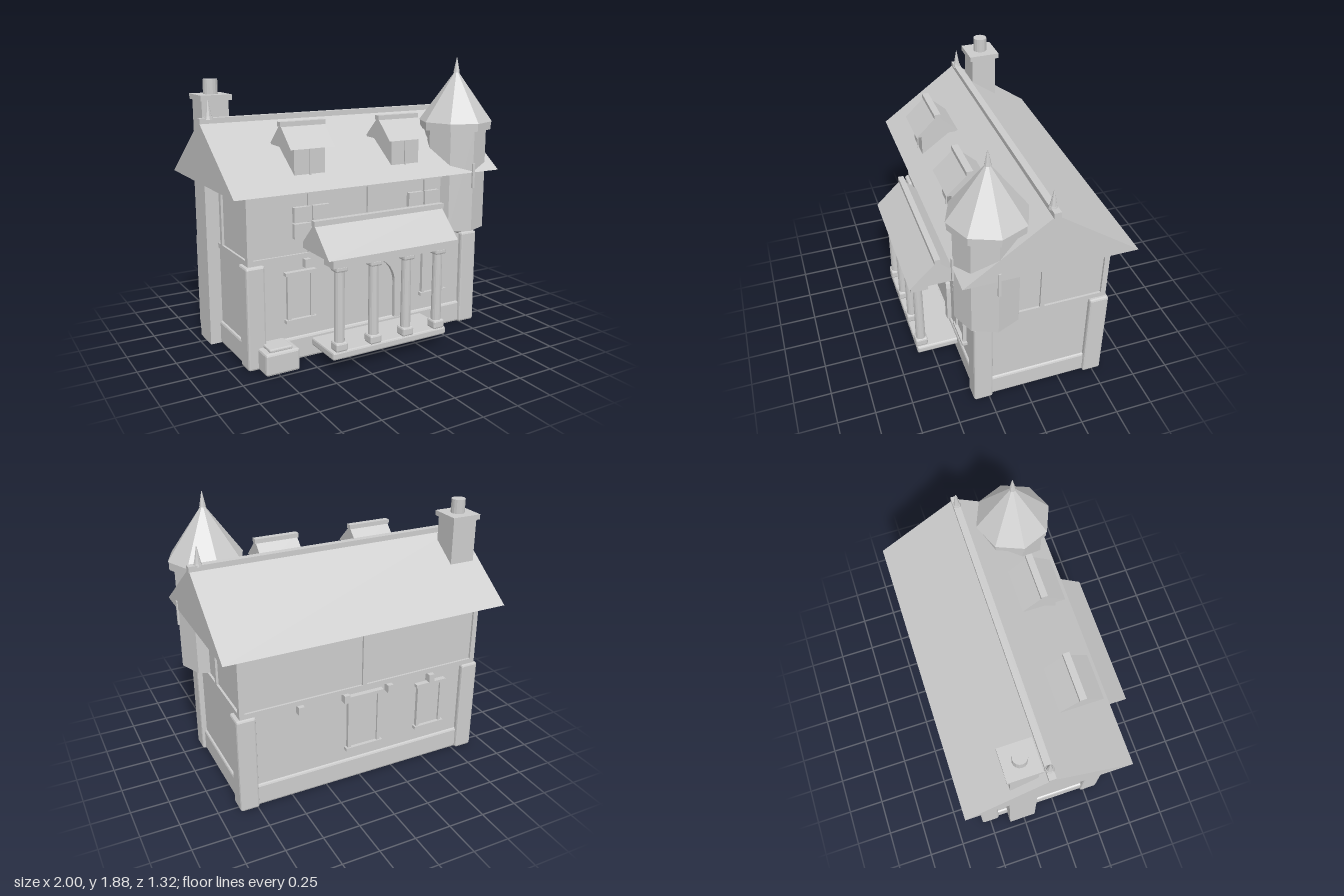
import * as THREE from 'three';
import { RoundedBoxGeometry } from 'three/addons/geometries/RoundedBoxGeometry.js';

export function createModel() {
  const house = new THREE.Group();
  house.name = 'house';
  const stone = new THREE.MeshStandardMaterial({ color: 0xcccccc });
  stone.name = 'paleGrey';

  // Faceted normals for every part
  const add = (name, geometry, parent = house) => {
    const g = geometry.index ? geometry.toNonIndexed() : geometry;
    g.computeVertexNormals();
    const mesh = new THREE.Mesh(g, stone);
    mesh.name = name;
    parent.add(mesh);
    return mesh;
  };
  // Box from min/max limits, with an optional chamfer
  const box = (name, x0, x1, y0, y1, z0, z1, chamfer = 0, parent = house) => {
    const s = [x1 - x0, y1 - y0, z1 - z0];
    const g = chamfer ? new RoundedBoxGeometry(...s, 1, chamfer) : new THREE.BoxGeometry(...s);
    g.translate((x0 + x1) / 2, (y0 + y1) / 2, (z0 + z1) / 2);
    return add(name, g, parent);
  };
  const drum = (name, rTop, rBottom, y0, y1, x, z, sides, parent = house) =>
    add(name, new THREE.CylinderGeometry(rTop, rBottom, y1 - y0, sides).translate(x, (y0 + y1) / 2, z), parent);
  // Gabled roof with its ridge along x
  const gable = (name, x0, x1, y0, y1, zBack, zRidge, zFront, parent = house) => {
    const shape = new THREE.Shape([[-zFront, y0], [-zBack, y0], [-zRidge, y1]].map(p => new THREE.Vector2(...p)));
    const g = new THREE.ExtrudeGeometry(shape, { depth: x1 - x0, bevelEnabled: false });
    return add(name, g.rotateY(Math.PI / 2).translate(x0, 0, 0), parent);
  };
  const section = name => {
    const g = new THREE.Group();
    g.name = name;
    house.add(g);
    return g;
  };

  // Ground floor, plinth and corner piers
  box('lowerWall', -0.87, 0.83, 0, 0.7, -0.525, 0.32);
  box('plinth', -0.885, 0.845, 0, 0.155, -0.54, 0.335, 0.015);
  for (const [x0, x1] of [[-0.9, -0.775], [0.737, 0.866]])
    for (const [z0, z1] of [[-0.56, -0.43], [0.225, 0.355]])
      box('cornerPier', x0, x1, 0, 0.67, z0, z1, 0.014);

  // Timber framed upper floor
  const frame = section('upperFloor');
  box('upperWall', -0.865, 0.825, 0.67, 1.12, -0.53, 0.315, 0, frame);
  const X0 = -0.88, X1 = 0.84, Z0 = -0.545, Z1 = 0.33, t = 0.035;
  for (const [y0, y1] of [[0.67, 0.703], [1.083, 1.12]]) {
    box('rail', X0, X1, y0, y1, Z1 - t, Z1, 0, frame);
    box('rail', X0, X1, y0, y1, Z0, Z0 + t, 0, frame);
    box('rail', X0, X0 + t, y0, y1, Z0 + t, Z1 - t, 0, frame);
    box('rail', X1 - t, X1, y0, y1, Z0 + t, Z1 - t, 0, frame);
  }
  for (const x of [X0, X1 - t]) {
    for (const z of [Z0, Z1 - t]) box('cornerPost', x, x + t, 0.703, 1.083, z, z + t, 0, frame);
    box('sideStud', x, x + t, 0.703, 1.083, -0.12, -0.09, 0, frame);
  }
  for (const x of [-0.45, -0.015, 0.435]) box('frontStud', x - 0.015, x + 0.015, 0.703, 1.083, Z1 - t, Z1, 0, frame);
  box('backStud', -0.035, -0.005, 0.703, 1.083, Z0, Z0 + t, 0, frame);

  // Brackets below the upper floor
  for (const x of [-0.485, 0.45]) box('frontBracket', x - 0.02, x + 0.02, 0.615, 0.67, 0.3, 0.36);
  for (const x of [-0.52, -0.2, 0.12, 0.44]) box('backBracket', x - 0.02, x + 0.02, 0.615, 0.67, -0.575, -0.5);

  // Ground floor windows, facing = 1 front, -1 back
  const window = (x, y, w, h, facing) => {
    const g = section('window');
    const wall = facing > 0 ? 0.32 : -0.525;
    const part = (name, a, b, c, d, out) =>
      box(name, x + a, x + b, y + c, y + d, Math.min(wall - 0.01, wall + facing * out),
        Math.max(wall + 0.01, wall + facing * out), 0, g);
    const f = 0.022, W = w / 2, H = h / 2;
    for (const s of [-1, 1]) part('jamb', s > 0 ? W - f : -W, s > 0 ? W : f - W, f - H, H - f, 0.025);
    part('lintel', -W - 0.015, W + 0.015, H - f, H, 0.035);
    part('sill', -W - 0.015, W + 0.015, -H, f - H, 0.035);
    part('pane', f - W, W - f, f - H, H - f, 0.011);
  };
  window(-0.53, 0.43, 0.185, 0.335, 1);
  window(0.5, 0.43, 0.185, 0.335, 1);
  window(-0.53, 0.43, 0.2, 0.35, -1);
  window(-0.02, 0.44, 0.24, 0.41, -1);

  // Small upper windows, two panes over two
  for (const cx of [-0.445, 0.41])
    for (const s of [-1, 1])
      for (const y of [0.805, 0.91])
        box('upperPane', cx + s * 0.065 - 0.058, cx + s * 0.065 + 0.058, y, y + 0.095, 0.3, 0.345);

  // Arched doorway
  const arch = (Shape, r, top) => {
    const s = new Shape();
    s.moveTo(-r, 0.15);
    s.lineTo(r, 0.15);
    s.lineTo(r, top);
    s.absarc(0, top, r, 0, Math.PI, false);
    s.closePath();
    return s;
  };
  const doorway = arch(THREE.Shape, 0.248, 0.4);
  doorway.holes.push(arch(THREE.Path, 0.195, 0.4));
  add('doorArch', new THREE.ExtrudeGeometry(doorway, { depth: 0.04, bevelEnabled: false, curveSegments: 10 })
    .translate(-0.018, 0, 0.31));

  // Main roof, ridge and finials
  gable('mainRoof', -1, 0.96, 1.12, 1.515, -0.66, -0.105, 0.45);
  box('ridge', -1, 0.965, 1.5, 1.535, -0.13, -0.085);
  for (const x of [-0.935, 0.9]) {
    drum('finialBase', 0.025, 0.03, 1.525, 1.545, x, -0.105, 8);
    drum('finial', 0.002, 0.022, 1.545, 1.65, x, -0.105, 8);
  }

  // Dormers
  for (const cx of [-0.45, 0.256]) {
    const g = section('dormer');
    box('dormerBody', cx - 0.107, cx + 0.107, 1.2, 1.375, 0.05, 0.33, 0, g);
    box('dormerMullion', cx - 0.006, cx + 0.006, 1.2, 1.37, 0.32, 0.338, 0, g);
    gable('dormerRoof', cx - 0.15, cx + 0.15, 1.37, 1.51, 0.075, 0.225, 0.375, g);
    box('dormerRidge', cx - 0.157, cx + 0.157, 1.495, 1.525, 0.203, 0.247, 0, g);
  }

  // Chimney rising along the left wall
  const chimney = section('chimney');
  box('breast', -0.957, -0.78, 0, 1.15, -0.36, -0.165, 0, chimney);
  box('stack', -0.95, -0.77, 1.1, 1.64, -0.35, -0.175, 0, chimney);
  box('cap', -0.963, -0.754, 1.635, 1.67, -0.37, -0.155, 0, chimney);
  drum('flue', 0.047, 0.047, 1.67, 1.765, -0.858, -0.262, 16, chimney);

  // Octagonal corner turret
  const turret = section('turret');
  const tx = 0.745, tz = 0.228;
  drum('corbel', 0.18, 0.06, 0.63, 0.705, tx - 0.02, tz - 0.02, 8, turret);
  drum('turretWall', 0.215, 0.215, 0.705, 1.42, tx, tz, 8, turret);
  drum('turretCollar', 0.247, 0.247, 1.4, 1.457, tx, tz, 8, turret);
  drum('turretRoof', 0.012, 0.253, 1.455, 1.79, tx, tz, 8, turret);
  drum('turretFinial', 0.002, 0.022, 1.785, 1.885, tx, tz, 8, turret);
  for (const [dx, dz] of [[0, 0.215], [0.215, 0]])
    box('turretSlit', tx + dx - 0.009, tx + dx + 0.009, 1.01, 1.18, tz + dz - 0.009, tz + dz + 0.009, 0, turret);

  // Porch
  const porch = section('porch');
  box('porchSlab', -0.45, 0.412, 0.075, 0.128, 0.3, 0.62, 0.012, porch);
  for (let i = 0; i < 4; i++) {
    const x = -0.387 + i * 0.247, z = 0.582;
    box('columnBase', x - 0.042, x + 0.042, 0.125, 0.185, z - 0.042, z + 0.042, 0.012, porch);
    drum('columnShaft', 0.031, 0.034, 0.18, 0.65, x, z, 16, porch);
    box('columnCapital', x - 0.042, x + 0.042, 0.64, 0.682, z - 0.042, z + 0.042, 0.012, porch);
  }
  box('porchBeam', -0.46, 0.432, 0.678, 0.74, 0.525, 0.64, 0, porch);
  gable('porchRoof', -0.497, 0.462, 0.735, 0.92, 0.275, 0.465, 0.656, porch);
  box('porchRidge', -0.503, 0.47, 0.908, 0.942, 0.445, 0.485, 0, porch);

  // Low pedestal by the front left pier
  box('pedestal', -0.835, -0.605, 0, 0.145, 0.3, 0.476, 0.015);
  box('pedestalCap', -0.8, -0.645, 0.14, 0.165, 0.3, 0.455, 0.008);

  return house;
}
